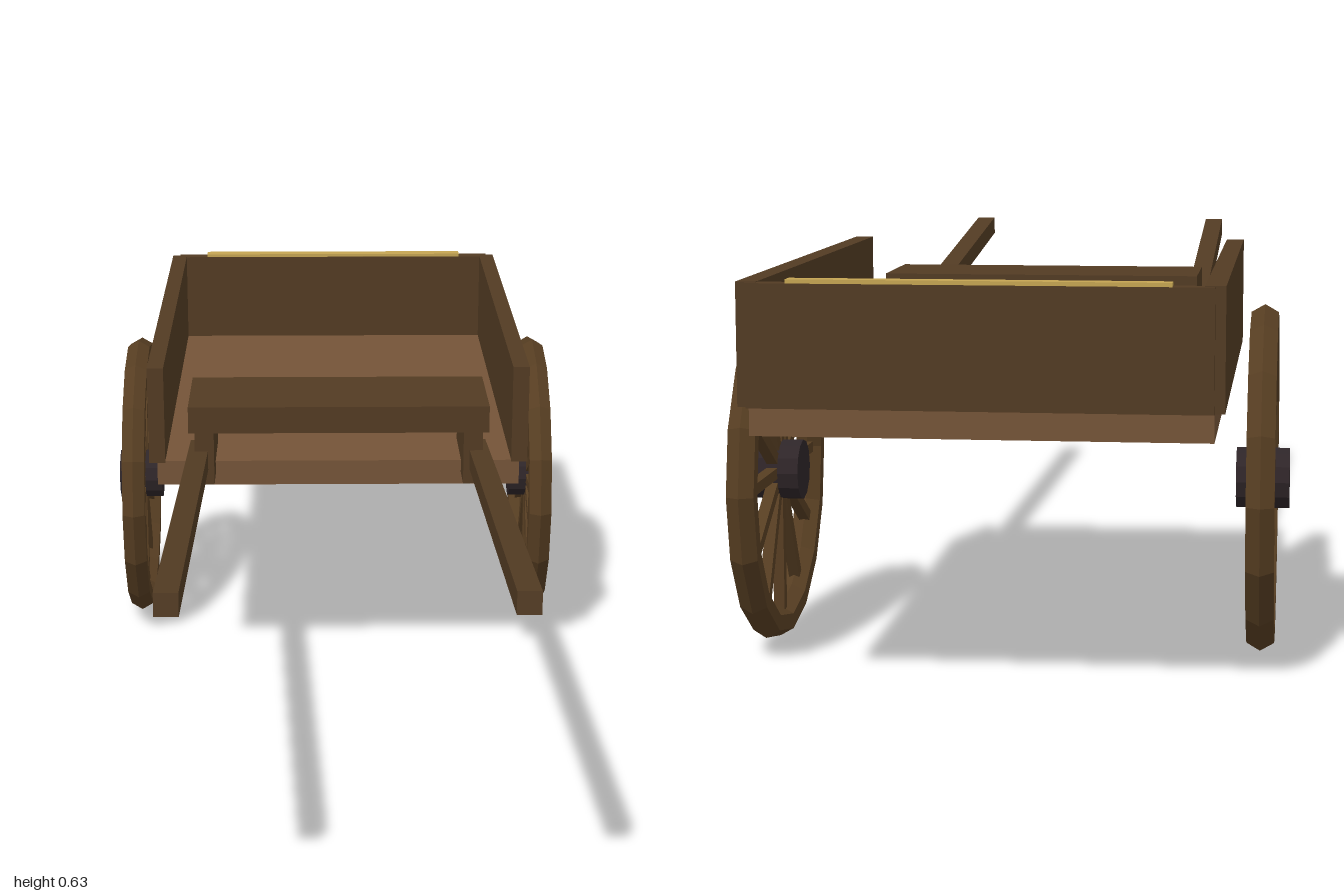
import * as THREE from 'three';

const paint = (name, color) => {
  const m = new THREE.MeshStandardMaterial({ color, flatShading: true });
  m.name = name;
  return m;
};

export function createModel() {
  const cart = new THREE.Group();
  cart.name = 'handcart';
  const darkWood = paint('dark wood', 0x523b23);
  const plank = paint('plank wood', 0x745438);
  const wheelWood = paint('wheel wood', 0x573e22);
  const iron = paint('dark iron', 0x2e2528);
  const brass = paint('brass', 0xc4a452);

  const add = (parent, name, geometry, material, x = 0, y = 0, z = 0) => {
    const mesh = new THREE.Mesh(geometry, material);
    mesh.name = name;
    mesh.position.set(x, y, z);
    parent.add(mesh);
    return mesh;
  };
  // Box given by its extents on each axis
  const block = (name, material, [x0, x1], [y0, y1], [z0, z1]) =>
    add(cart, name, new THREE.BoxGeometry(x1 - x0, y1 - y0, z1 - z0), material,
      (x0 + x1) / 2, (y0 + y1) / 2, (z0 + z1) / 2);

  // Bed, tailboard and seat
  block('floor', plank, [-0.335, 0.335], [0.407, 0.453], [-0.98, -0.068]);
  block('axleBeam', darkWood, [-0.305, 0.305], [0.387, 0.41], [-0.54, -0.51]);
  block('tailboard', darkWood, [-0.335, 0.335], [0.45, 0.63], [-1, -0.973]);
  block('tailboardTrim', brass, [-0.275, 0.275], [0.622, 0.636], [-1, -0.974]);
  block('seat', darkWood, [-0.273, 0.273], [0.527, 0.576], [-0.2, 0]);

  for (const s of [-1, 1]) {
    const side = s > 0 ? 'left' : 'right';
    const span = (a, b) => (s > 0 ? [a, b] : [-b, -a]);
    block(side + 'Wall', darkWood, span(0.32, 0.35), [0.45, 0.631], [-0.987, -0.066]);
    block(side + 'SeatSupport', darkWood, span(0.227, 0.262), [0.43, 0.527], [-0.2, 0]);

    // Pull shaft rising toward the front
    const slope = Math.atan(0.108);
    const shaft = add(cart, side + 'Shaft',
      new THREE.BoxGeometry(0.036, 0.035, 1.1 / Math.cos(slope)), darkWood,
      s * 0.256, 0.524, 0.448);
    shaft.rotation.x = -slope;

    // Wheel, built in the XY plane and turned to face sideways
    const wheel = new THREE.Group();
    wheel.name = side + 'Wheel';
    wheel.position.set(s * 0.397, 0.281, -0.525);
    wheel.rotation.y = s * Math.PI / 2;
    cart.add(wheel);
    add(wheel, 'rim', new THREE.TorusGeometry(0.255, 0.025, 6, 16), wheelWood);
    add(wheel, 'hub', new THREE.CylinderGeometry(0.049, 0.049, 0.085, 12), iron)
      .rotation.x = Math.PI / 2;
    for (let i = 0; i < 12; i++) {
      const a = i * Math.PI / 6;
      add(wheel, 'spoke', new THREE.BoxGeometry(0.215, 0.018, 0.018), wheelWood,
        Math.cos(a) * 0.138, Math.sin(a) * 0.138).rotation.z = a;
    }
  }
  return cart;
}
